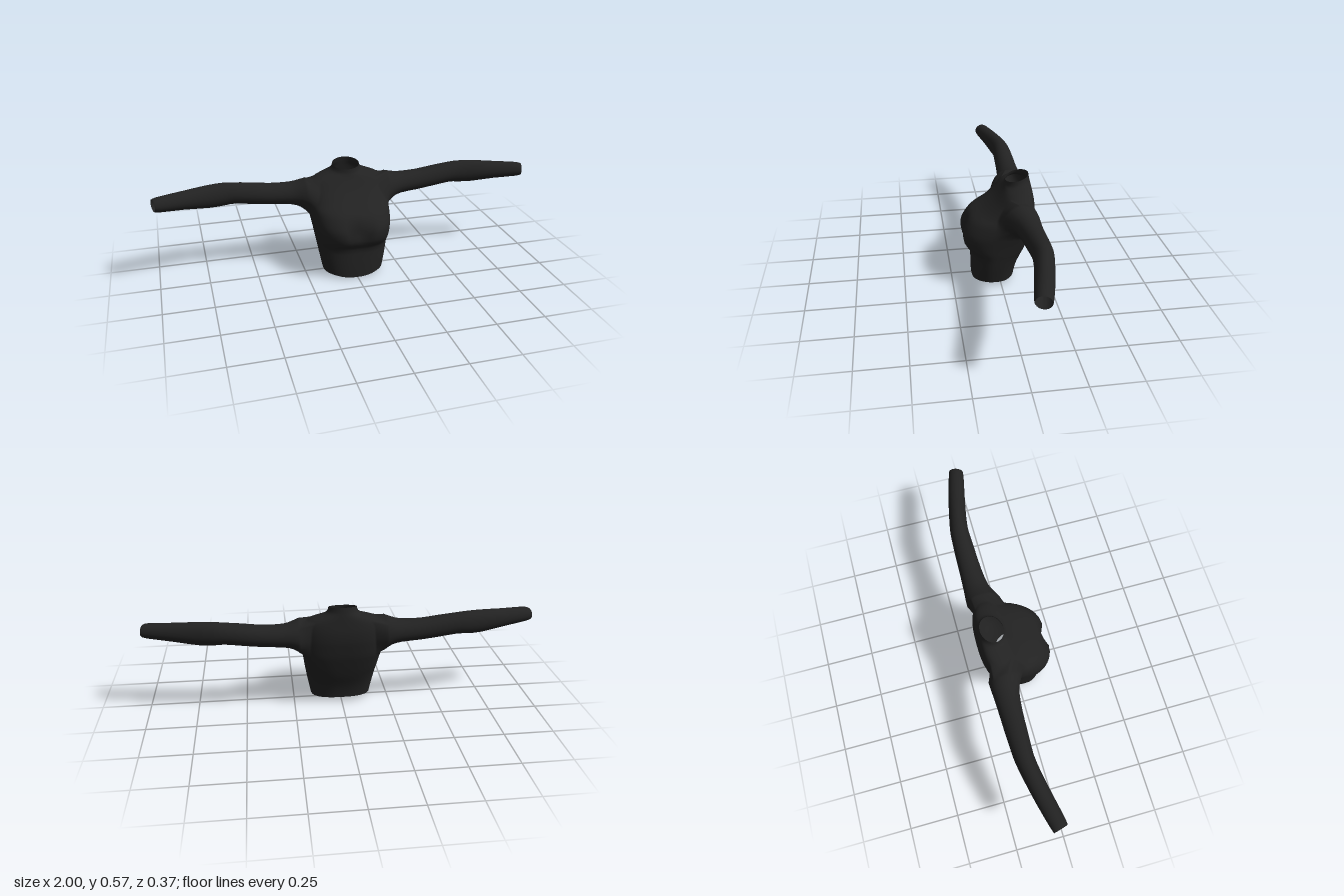
import * as THREE from 'three';

// Torso rows: y, half width, front z, back z, z of the side line, front column warp, roundness power
const TORSO = [
  [0.020, 0.158, 0.141, -0.083, 0.030, 1.0, 0.82],
  [0.060, 0.166, 0.142, -0.090, 0.028, 1.0, 0.82],
  [0.110, 0.176, 0.142, -0.104, 0.022, 1.0, 0.82],
  [0.160, 0.184, 0.143, -0.125, 0.012, 1.1, 0.80],
  [0.190, 0.189, 0.167, -0.136, 0.002, 1.2, 0.74],
  [0.220, 0.193, 0.186, -0.146, -0.010, 1.4, 0.70],
  [0.265, 0.200, 0.193, -0.160, -0.030, 1.8, 0.68],
  [0.300, 0.206, 0.185, -0.170, -0.055, 2.3, 0.70],
  [0.340, 0.208, 0.160, -0.177, -0.070, 2.1, 0.74],
  [0.365, 0.207, 0.130, -0.181, -0.078, 1.8, 0.76],
  [0.390, 0.205, 0.080, -0.184, -0.083, 1.3, 0.77],
  [0.430, 0.202, 0.027, -0.184, -0.087, 1.0, 0.78],
  [0.460, 0.197, -0.002, -0.180, -0.090, 1.0, 0.80],
  [0.482, 0.185, -0.019, -0.176, -0.095, 1.0, 0.84],
  [0.500, 0.150, -0.029, -0.172, -0.099, 1.0, 0.90],
  [0.516, 0.100, -0.035, -0.168, -0.101, 1.0, 0.96],
  [0.530, 0.078, -0.039, -0.164, -0.101, 1.0, 1.0],
  [0.551, 0.071, -0.041, -0.160, -0.101, 1.0, 1.0],
];
const HOLE = [7, 13];  // torso rows where the sleeve joins
const HOLE_COLS = 7;   // columns either side of the side line
const N = 64;          // columns around the torso
const SUB = 2;         // smooth steps between rows

// Sleeve stations: x, bottom y, top y, back z, front z, slant of the cut
const SLEEVE = [
  [0.215, 0.308, 0.491, -0.178, -0.002, 0],
  [0.250, 0.337, 0.480, -0.177, -0.022, 0],
  [0.300, 0.353, 0.470, -0.174, -0.043, 0],
  [0.400, 0.361, 0.472, -0.170, -0.055, 0],
  [0.500, 0.373, 0.485, -0.168, -0.060, 0],
  [0.590, 0.384, 0.495, -0.164, -0.064, 0],
  [0.640, 0.381, 0.499, -0.160, -0.064, 0.05],
  [0.720, 0.380, 0.499, -0.146, -0.055, 0.12],
  [0.850, 0.395, 0.490, -0.118, -0.032, 0.22],
  [0.975, 0.406, 0.482, -0.085, -0.007, 0.28],
  [1.000, 0.413, 0.474, -0.076, -0.006, 0.28],
];

// Smoothly subdivides a table of cross-sections
function refine(table, steps) {
  const at = i => table[Math.min(Math.max(i, 0), table.length - 1)];
  const out = [];
  for (let i = 0; i < table.length - 1; i++) {
    for (let s = 0; s < steps; s++) {
      const t = s / steps;
      out.push(at(i).map((b, c) => {
        const a = at(i - 1)[c], d = at(i + 1)[c], e = at(i + 2)[c];
        return b + 0.5 * t * (d - a + t * (2 * a - 5 * b + 4 * d - e + t * (3 * (b - d) + e - a)));
      }));
    }
  }
  out.push(at(table.length - 1));
  return out;
}

function torsoPoint([y, hw, zf, zb, zs, warp, p], j) {
  let a = (j / N) * Math.PI * 2;
  const front = j > 0 && j < N / 2;
  if (front) {
    // gather front columns toward the sides around the sleeve holes
    const u = Math.min(j, N / 2 - j) / (N / 4);
    const w = (Math.PI / 2) * Math.pow(u, warp);
    a = j <= N / 4 ? w : Math.PI - w;
  }
  const c = Math.cos(a), s = Math.sin(a);
  const x = hw * Math.sign(c) * Math.pow(Math.abs(c), p);
  const depth = Math.pow(Math.abs(s), p);
  let z = zs + depth * (s > 0 ? zf - zs : zb - zs);
  // hollow at the centre of the chest
  if (front) z -= 0.034 * Math.exp(-((x / 0.04) ** 2)) * Math.exp(-(((y - 0.265) / 0.06) ** 2));
  // hem dips at the front, neckline rises at the back
  const hem = Math.max(0, 1 - y / 0.14);
  const neck = THREE.MathUtils.smoothstep(y, 0.47, 0.55);
  const dy = hem * (s > 0 ? -0.023 * s ** 4 : 0.01 * s * s) - neck * 0.015 * s;
  return [x, y + dy, z];
}

function garmentGeometry() {
  const pos = [], index = [];
  const add = p => pos.push(...p) / 3 - 1;
  const quad = (a, b, c, d, flip) =>
    flip ? index.push(a, c, b, a, d, c) : index.push(a, b, c, a, c, d);

  // Torso, left open at neck, hem and sleeve holes
  const rows = refine(TORSO, SUB);
  const r0 = HOLE[0] * SUB, r1 = HOLE[1] * SUB;
  const grid = rows.map(row => Array.from({ length: N }, (_, j) => add(torsoPoint(row, j))));
  const inHole = (r, j) => {
    if (r < r0 || r >= r1) return false;
    const k = (j + 0.5) % (N / 2);
    return k < HOLE_COLS || k > N / 2 - HOLE_COLS;
  };
  for (let r = 0; r < rows.length - 1; r++) {
    for (let j = 0; j < N; j++) {
      if (inHole(r, j)) continue;
      const k = (j + 1) % N;
      quad(grid[r][j], grid[r + 1][j], grid[r + 1][k], grid[r][k], false);
    }
  }

  // Sleeves, grown from the edge of each hole
  const stations = refine(SLEEVE, 2);
  for (const side of [1, -1]) {
    const at = (r, j) => grid[r][((side > 0 ? j : N / 2 - j) + N) % N];
    const loop = [];
    for (let j = -HOLE_COLS; j < HOLE_COLS; j++) loop.push(at(r0, j));
    for (let r = r0; r < r1; r++) loop.push(at(r, HOLE_COLS));
    for (let j = HOLE_COLS; j > -HOLE_COLS; j--) loop.push(at(r1, j));
    for (let r = r1; r > r0; r--) loop.push(at(r, -HOLE_COLS));

    const mid = axis => {
      const v = loop.map(i => pos[i * 3 + axis]);
      const lo = Math.min(...v), hi = Math.max(...v);
      return [(lo + hi) / 2, (hi - lo) / 2];
    };
    const [my, ry] = mid(1), [mz, rz] = mid(2);
    const angles = loop.map(i => Math.atan2((pos[i * 3 + 1] - my) / ry, (pos[i * 3 + 2] - mz) / rz));

    let prev = loop;
    for (const [x, yb, yt, zb, zf, slant] of stations) {
      const ring = angles.map(a => {
        const z = (zb + zf) / 2 + ((zf - zb) / 2) * Math.cos(a);
        const y = (yb + yt) / 2 + ((yt - yb) / 2) * Math.sin(a);
        return add([side * (x - slant * (z - zb)), y, z]);
      });
      ring.forEach((_, i) => {
        const k = (i + 1) % ring.length;
        quad(prev[i], ring[i], ring[k], prev[k], side < 0);
      });
      prev = ring;
    }
  }

  const geo = new THREE.BufferGeometry();
  geo.setAttribute('position', new THREE.Float32BufferAttribute(pos, 3));
  geo.setIndex(index);
  geo.computeVertexNormals();
  return geo;
}

export function createModel() {
  const group = new THREE.Group();
  group.name = 'longSleevedTop';
  const fabric = new THREE.MeshStandardMaterial({ color: 0x222222, side: THREE.DoubleSide });
  fabric.name = 'black fabric';
  const garment = new THREE.Mesh(garmentGeometry(), fabric);
  garment.name = 'torsoAndSleeves';
  group.add(garment);
  return group;
}
